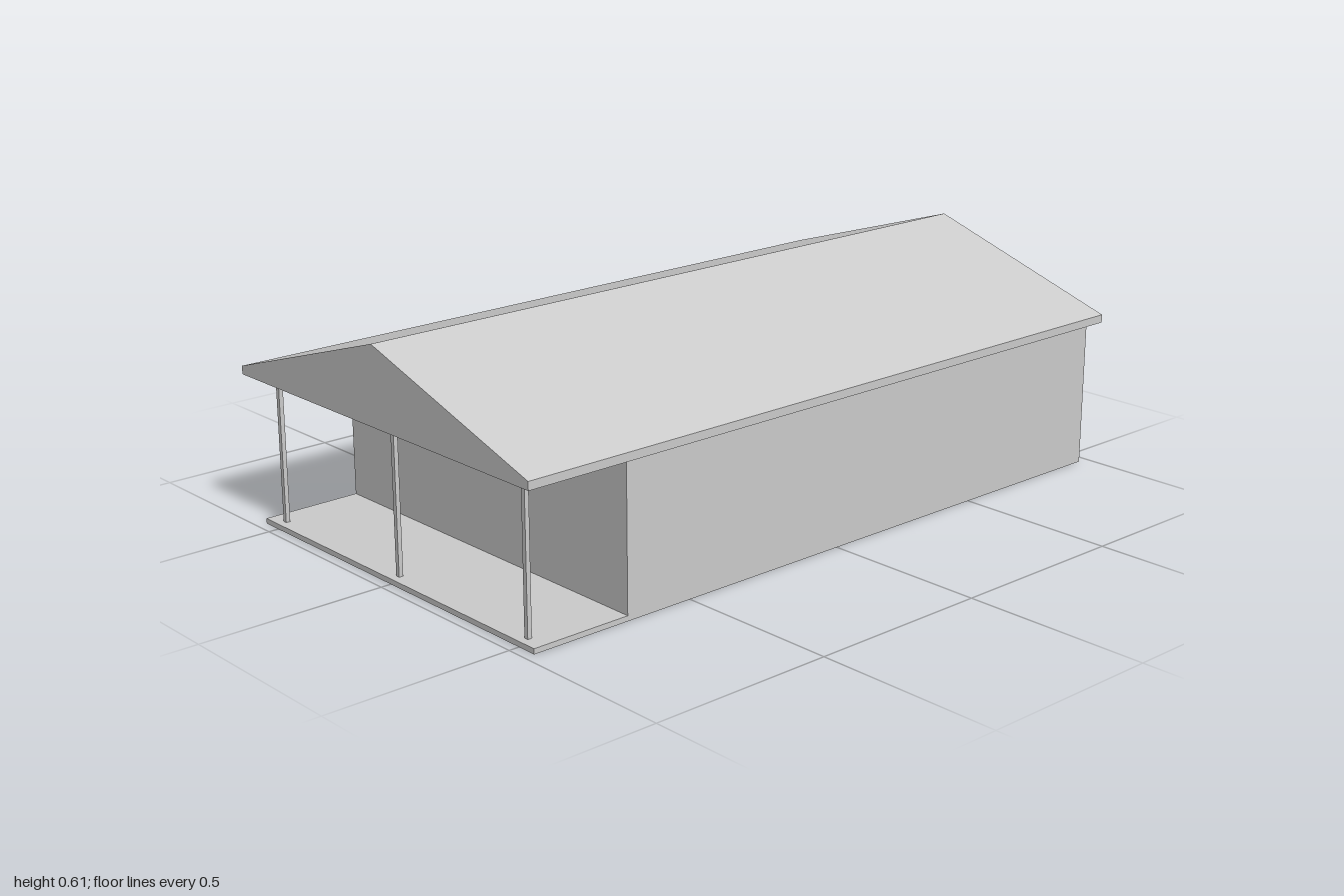
import * as THREE from 'three';

export function createModel() {
  const model = new THREE.Group();
  const grey = new THREE.MeshStandardMaterial({ color: 0xcccccc });
  grey.name = 'light grey';

  const add = (name, geometry, x = 0, y = 0, z = 0) => {
    const mesh = new THREE.Mesh(geometry, grey);
    mesh.name = name;
    mesh.position.set(x, y, z);
    model.add(mesh);
  };

  // A box given by its width and its y and z limits
  const addBox = (name, width, y0, y1, z0, z1, x = 0) =>
    add(name, new THREE.BoxGeometry(width, y1 - y0, z1 - z0), x, (y0 + y1) / 2, (z0 + z1) / 2);

  const wallWidth = 1.11, floorTop = 0.014, eaves = 0.404, frontWall = 0.695;

  // Enclosed house and the open porch slab in front of it
  addBox('houseBody', wallWidth, 0, eaves, -0.97, frontWall);
  addBox('porchFloor', wallWidth, 0, floorTop, frontWall, 0.972);

  // Slim posts carrying the roof over the porch
  for (const x of [-0.5, 0, 0.5]) {
    addBox('porchPost', 0.012, floorTop, eaves, 0.939, 0.951, x);
  }

  // Solid gable roof with a thin vertical fascia
  const halfRoof = 0.583, fasciaTop = 0.426, ridge = 0.61;
  const gable = new THREE.Shape([
    new THREE.Vector2(-halfRoof, eaves),
    new THREE.Vector2(halfRoof, eaves),
    new THREE.Vector2(halfRoof, fasciaTop),
    new THREE.Vector2(0, ridge),
    new THREE.Vector2(-halfRoof, fasciaTop),
  ]);
  add('gableRoof', new THREE.ExtrudeGeometry(gable, { depth: 2, bevelEnabled: false }), 0, 0, -1);

  return model;
}
